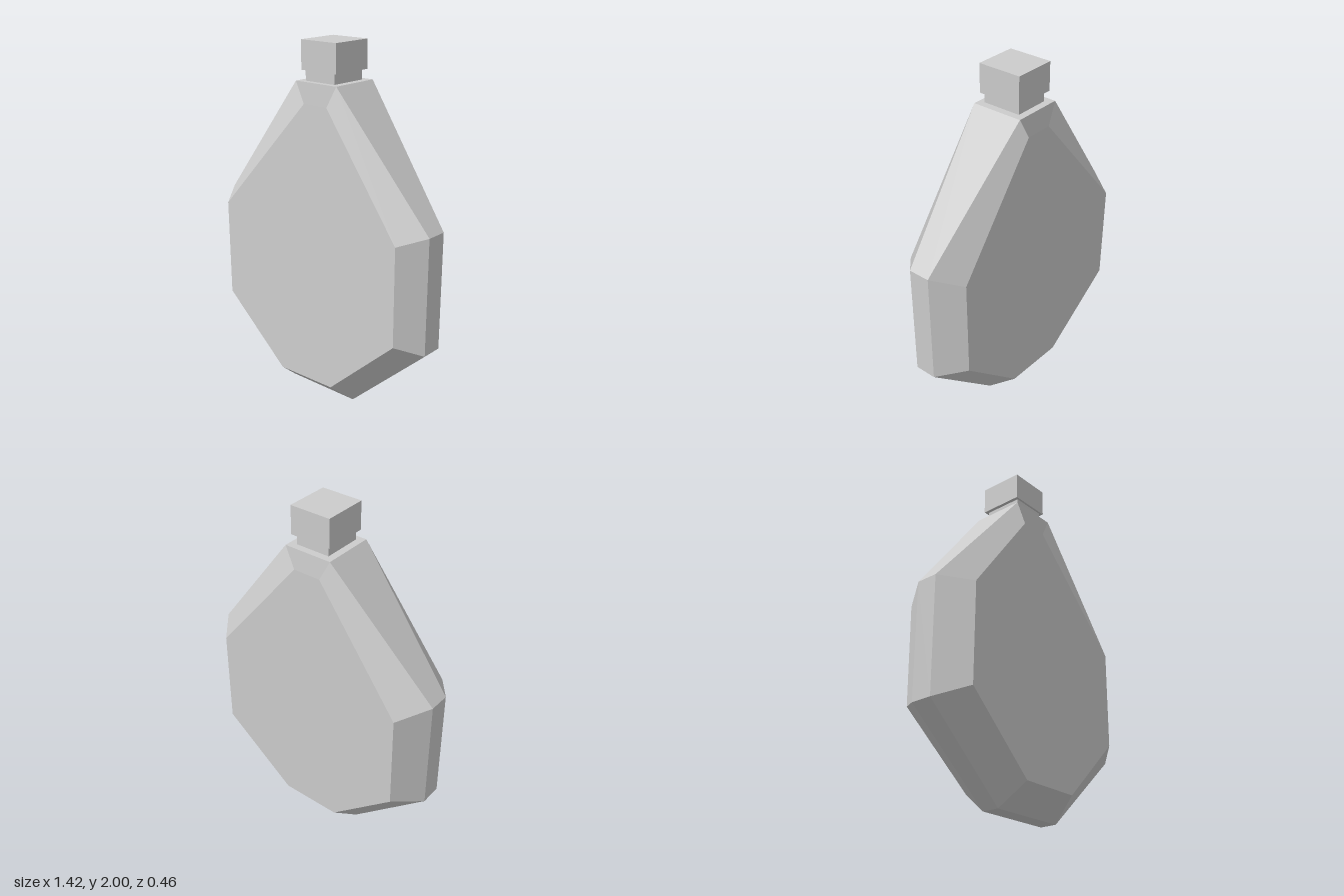
import * as THREE from 'three';

const material = new THREE.MeshStandardMaterial({ color: 0xcccccc });

// Eight-cornered ring, counter-clockwise seen from the front, starting at the top +x corner.
// Each level is [half width, y, z on the +x side, z on the -x side], from top to bottom.
function ring([top, shoulder, hip, base]) {
  const plus = ([x, y, z]) => new THREE.Vector3(x, y, z);
  const minus = ([x, y, , z]) => new THREE.Vector3(-x, y, z);
  return [plus(top), minus(top), minus(shoulder), minus(hip), minus(base), plus(base), plus(hip), plus(shoulder)];
}

// Fans each polygon from its first corner; one shared normal keeps slightly bent facets evenly shaded.
function facetGeometry(points, polygons) {
  const positions = [], normals = [];
  for (const polygon of polygons) {
    const [first, ...rest] = polygon.map((i) => points[i]);
    const normal = new THREE.Vector3();
    for (let k = 0; k + 1 < rest.length; k++) {
      const u = rest[k].clone().sub(first), v = rest[k + 1].clone().sub(first);
      normal.add(u.cross(v));
      for (const p of [first, rest[k], rest[k + 1]]) positions.push(p.x, p.y, p.z);
    }
    normal.normalize();
    for (let k = 0; k < (rest.length - 1) * 3; k++) normals.push(normal.x, normal.y, normal.z);
  }
  const geometry = new THREE.BufferGeometry();
  geometry.setAttribute('position', new THREE.Float32BufferAttribute(positions, 3));
  geometry.setAttribute('normal', new THREE.Float32BufferAttribute(normals, 3));
  return geometry;
}

function bodyGeometry() {
  // Front panel, front edge of the side band, back edge of the band, back panel
  const points = [
    [[0.08, 1.67, 0.128, 0.126], [0.587, 1.047, 0.187, 0.23], [0.587, 0.492, 0.185, 0.225], [0.183, 0.122, 0.213, 0.218]],
    [[0.14, 1.786, 0.12, 0.12], [0.708, 1.09, 0.067, 0.065], [0.708, 0.438, 0.069, 0.065], [0.227, 0, 0.07, 0.07]],
    [[0.14, 1.786, -0.175, -0.175], [0.708, 1.09, -0.057, -0.057], [0.708, 0.438, -0.055, -0.057], [0.227, 0, -0.028, -0.028]],
    [[0.08, 1.67, -0.184, -0.184], [0.59, 1.05, -0.205, -0.23], [0.59, 0.49, -0.205, -0.222], [0.18, 0.115, -0.18, -0.185]],
  ].flatMap(ring);

  // Front and back panels
  const polygons = [
    [5, 6, 7, 0, 1, 2, 3, 4],
    [25, 24, 31, 30, 29, 28, 27, 26],
  ];
  // Bevels and side band
  for (let r = 0; r < 3; r++) {
    for (let i = 0; i < 8; i++) {
      const a = r * 8, b = a + 8, j = (i + 1) % 8;
      const mirrored = r === 0 && i > 3;
      polygons.push(mirrored
        ? [a + i, b + i, b + j, a + j]
        : [b + i, b + j, a + j, a + i]);
    }
  }
  // Shoulder plate under the neck and flat foot are the band's own top and bottom facets
  return facetGeometry(points, polygons);
}

function block(name, width, depth, y0, y1, z) {
  const mesh = new THREE.Mesh(new THREE.BoxGeometry(width, y1 - y0, depth), material);
  mesh.position.set(0, (y0 + y1) / 2, z);
  mesh.name = name;
  return mesh;
}

export function createModel() {
  const model = new THREE.Group();
  model.name = 'flask';

  const body = new THREE.Mesh(bodyGeometry(), material);
  body.name = 'body';
  model.add(body);

  model.add(block('neck', 0.2, 0.222, 1.78, 1.845, -0.024));
  model.add(block('stopper', 0.24, 0.252, 1.842, 2, -0.027));
  return model;
}
